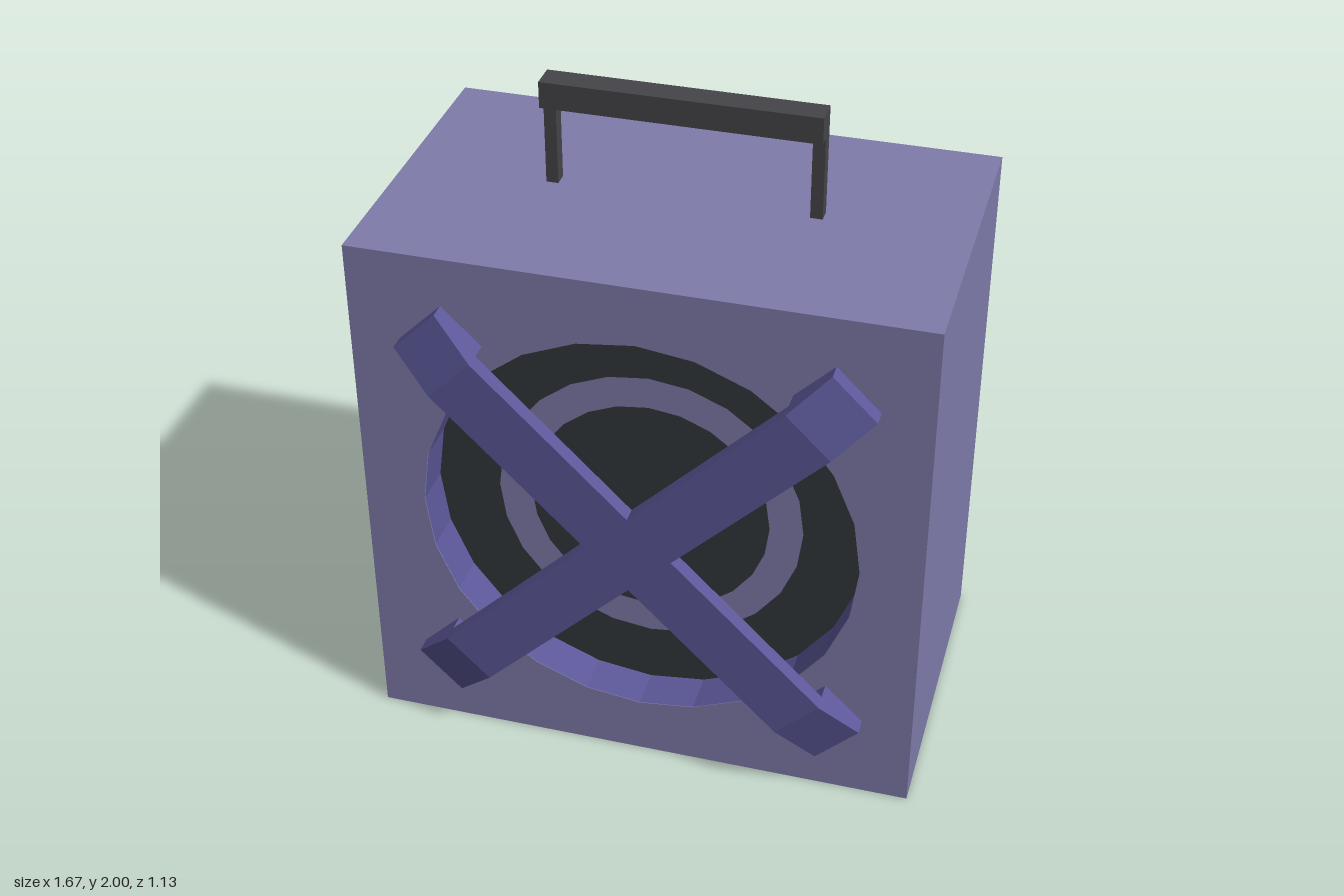
import * as THREE from 'three';

const SIDES = 24;
const CY = 0.833; // height of the body centre
const FRONT = 0.465, BACK = -0.515, FLOOR = 0.335;

const mat = (color, side = THREE.FrontSide) => {
  const m = new THREE.MeshStandardMaterial({ color, side });
  m.flatShading = true;
  return m;
};
const purple = mat(0x7f7bab);
const violet = mat(0x5c5899);
const dark = mat(0x33373b);
const charcoal = mat(0x454448);
const metal = mat(0xcccccc);

function add(parent, name, geometry, material, x = 0, y = 0, z = 0) {
  const mesh = new THREE.Mesh(geometry, material);
  mesh.name = name;
  mesh.position.set(x, y, z);
  parent.add(mesh);
  return mesh;
}

const polygon = pts => new THREE.Shape(pts.map(([x, y]) => new THREE.Vector2(x, y)));
const extrude = (shape, depth) =>
  new THREE.ExtrudeGeometry(shape, { depth, bevelEnabled: false });

// Cabinet: solid rear block and a front panel with a round recess
function buildCabinet(root) {
  const g = new THREE.Group();
  g.name = 'cabinet';
  const h = 0.833, R = 0.65;
  add(g, 'rearBlock', new THREE.BoxGeometry(2 * h, 2 * h, FLOOR - BACK), purple, 0, CY, (FLOOR + BACK) / 2);
  const panel = polygon([[-h, -h], [h, -h], [h, h], [-h, h]]);
  const hole = [];
  for (let i = 0; i < SIDES; i++) {
    const a = -i / SIDES * Math.PI * 2;
    hole.push(new THREE.Vector2(Math.cos(a) * R, Math.sin(a) * R));
  }
  panel.holes.push(new THREE.Path(hole));
  add(g, 'frontPanel', extrude(panel, FRONT - FLOOR), purple, 0, CY, FLOOR);

  // Recess wall, then the concentric speaker rings on its floor
  const wall = new THREE.CylinderGeometry(R - 0.002, R - 0.002, FRONT - FLOOR, SIDES, 1, true).rotateX(Math.PI / 2);
  add(g, 'recessWall', wall, mat(0x5c5899, THREE.BackSide), 0, CY, (FRONT + FLOOR) / 2);
  const z = FLOOR + 0.004;
  add(g, 'outerCone', new THREE.RingGeometry(0.46, R, SIDES), dark, 0, CY, z);
  add(g, 'speakerRing', new THREE.RingGeometry(0.36, 0.46, SIDES), purple, 0, CY, z);
  add(g, 'innerCone', new THREE.CircleGeometry(0.36, SIDES), dark, 0, CY, z);
  root.add(g);
}

// Crossed guard: two diagonal straps with chamfered ends and short feet
function buildGuard(root) {
  const g = new THREE.Group();
  g.name = 'crossGuard';
  const end = 0.877, foot = 0.715, cham = 0.717, w = 0.18;
  const profile = polygon([
    [-end, 0], [-foot, 0], [-foot, 0.05], [foot, 0.05], [foot, 0], [end, 0],
    [end, 0.05], [cham, 0.098], [-cham, 0.098], [-end, 0.05],
  ]);
  for (const s of [-1, 1]) {
    const geo = extrude(profile, w).translate(0, 0, -w / 2).rotateX(Math.PI / 2);
    geo.rotateZ(s * Math.PI / 4);
    add(g, s > 0 ? 'risingStrap' : 'fallingStrap', geo, violet, 0, CY, FRONT);
  }
  root.add(g);
}

// Carrying handle on the top
function buildHandle(root) {
  const g = new THREE.Group();
  g.name = 'handle';
  add(g, 'grip', new THREE.BoxGeometry(0.81, 0.08, 0.08), charcoal, 0, 1.96, -0.025);
  for (const s of [-1, 1])
    add(g, 'handlePost', new THREE.BoxGeometry(0.036, 0.256, 0.043), charcoal, s * 0.387, 1.793, -0.0435);
  root.add(g);
}

// Rear plate: tapered octagon with a screw pocket in each side
function buildRearPlate(root) {
  const g = new THREE.Group();
  g.name = 'rearPlate';
  const r = 0.205, c = 0.135, nx = 0.12, ny = 0.06, total = 0.035, base = 0.014;
  const octagon = [[r, -c], [r, c], [c, r], [-c, r], [-r, c], [-r, -c], [-c, -r], [c, -r]];
  const notched = [
    [r, -c], [r, -ny], [nx, -ny], [nx, ny], [r, ny], [r, c], [c, r], [-c, r],
    [-r, c], [-r, ny], [-nx, ny], [-nx, -ny], [-r, -ny], [-r, -c], [-c, -r], [c, -r],
  ];
  // Outline points shrink with height; pocket corners stay put
  const taper = (geo, z0) => {
    geo.translate(0, 0, z0);
    const p = geo.attributes.position;
    for (let i = 0; i < p.count; i++) {
      const x = p.getX(i), y = p.getY(i);
      const k = 1 - 0.14 * p.getZ(i) / total;
      if (Math.abs(y) > ny + 0.01) p.setXY(i, x * k, y * k);
      else if (Math.abs(x) > nx + 0.01) p.setX(i, x * k);
    }
    geo.computeVertexNormals();
    return geo;
  };
  add(g, 'plateBase', taper(extrude(polygon(octagon), base), 0), metal);
  add(g, 'plateFace', taper(extrude(polygon(notched), total - base), base), metal);
  for (const s of [-1, 1])
    add(g, 'screw', new THREE.CylinderGeometry(0.025, 0.025, 0.012, 12).rotateX(Math.PI / 2), dark, s * 0.157, 0, base + 0.005);
  g.position.set(0, 0.836, -0.53);
  g.rotation.y = Math.PI;
  root.add(g);
}

export function createModel() {
  const root = new THREE.Group();
  root.name = 'portableSpeaker';
  buildCabinet(root);
  buildGuard(root);
  buildHandle(root);
  buildRearPlate(root);
  return root;
}
